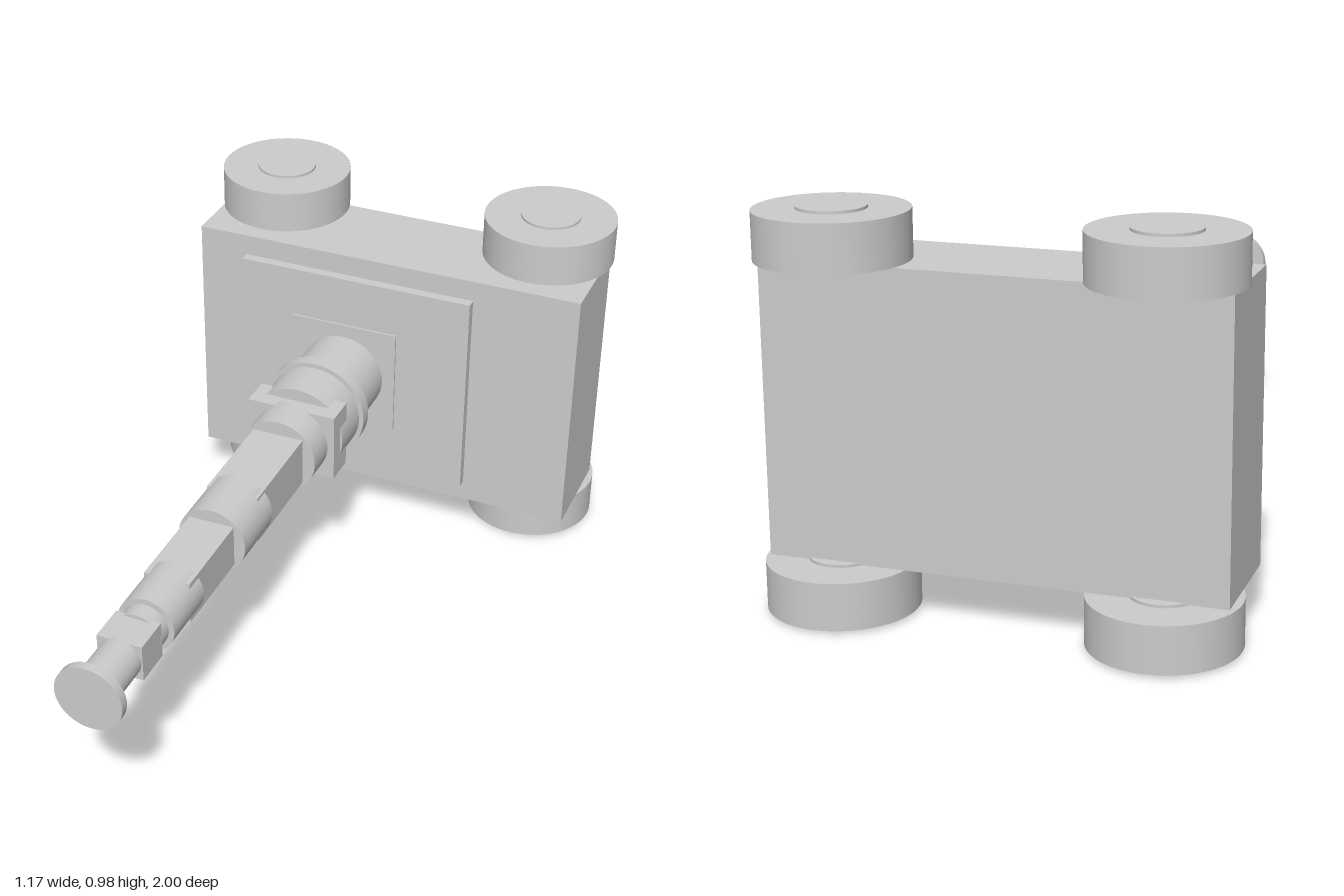
import * as THREE from 'three';

export function createModel() {
  const root = new THREE.Group();
  root.name = 'mobileArmRobot';
  const material = new THREE.MeshStandardMaterial({ color: 0xcccccc });

  const add = (parent, name, geometry) => {
    const mesh = new THREE.Mesh(geometry, material);
    mesh.name = name;
    parent.add(mesh);
    return mesh;
  };
  // Box given by its limits on each axis
  const box = (parent, name, x0, x1, y0, y1, z0, z1) =>
    add(parent, name, new THREE.BoxGeometry(x1 - x0, y1 - y0, z1 - z0))
      .position.set((x0 + x1) / 2, (y0 + y1) / 2, (z0 + z1) / 2);

  // Chassis and mounting plates
  box(root, 'chassis', -0.565, 0.565, 0.13, 0.855, -0.87, -0.58);
  box(root, 'deckPlate', -0.425, 0.262, 0.19, 0.795, -0.58, -0.552);
  box(root, 'armMountPlate', -0.265, 0.05, 0.335, 0.65, -0.56, -0.546);

  // Four wheels, each with a hub standing slightly proud on both faces
  for (const sx of [-1, 1]) {
    for (const sy of [-1, 1]) {
      const wheel = new THREE.Group();
      wheel.name = (sx < 0 ? 'right' : 'left') + (sy < 0 ? 'Lower' : 'Upper') + 'Wheel';
      wheel.position.set(sx * 0.399, 0.4915 + sy * 0.423, -0.816);
      add(wheel, 'tyre', new THREE.CylinderGeometry(0.184, 0.184, 0.117, 64));
      add(wheel, 'hub', new THREE.CylinderGeometry(0.083, 0.083, 0.131, 48));
      root.add(wheel);
    }
  }

  // Arm along +z, built around its own axis
  const arm = new THREE.Group();
  arm.name = 'arm';
  arm.position.set(-0.108, 0.4915, 0);
  root.add(arm);

  // Round sections: name, radius, back z, front z
  const rounds = [
    ['baseColumn', 0.121, -0.56, -0.37],
    ['baseFlange', 0.147, -0.375, -0.338],
    ['shoulderHousing', 0.134, -0.34, -0.215],
    ['shoulderJoint', 0.108, -0.19, -0.083],
    ['elbowJoint', 0.093, 0.165, 0.335],
    ['wristJoint', 0.076, 0.54, 0.705],
    ['wristCollar', 0.061, 0.70, 0.75],
    ['toolShaft', 0.056, 0.835, 0.978],
    ['toolFlange', 0.089, 0.976, 1.0],
  ];
  for (const [name, r, z0, z1] of rounds) {
    const geometry = new THREE.CylinderGeometry(r, r, z1 - z0, 64).rotateX(Math.PI / 2);
    add(arm, name, geometry).position.z = (z0 + z1) / 2;
  }

  // Square sections whose corners break through the joints: name, half width, half height, back z, front z
  const blocks = [
    ['shoulderBlock', 0.127, 0.098, -0.26, -0.172],
    ['upperLink', 0.072, 0.068, -0.10, 0.21],
    ['foreLink', 0.062, 0.058, 0.30, 0.59],
    ['wristBlock', 0.06, 0.05, 0.74, 0.84],
  ];
  for (const [name, w, h, z0, z1] of blocks) box(arm, name, -w, w, -h, h, z0, z1);

  return root;
}
